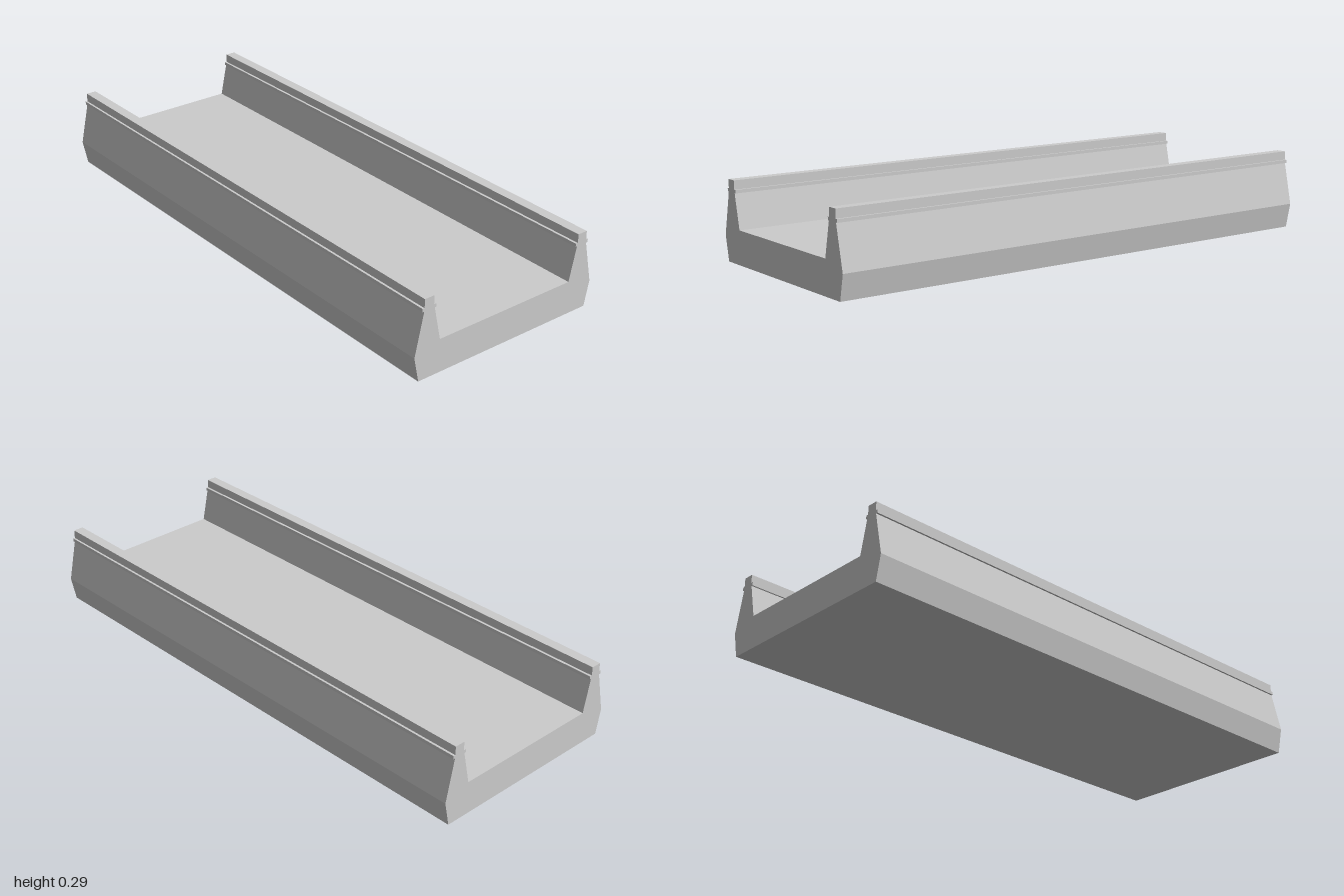
import * as THREE from 'three';

export function createModel() {
  const group = new THREE.Group();
  group.name = 'channel';
  const length = 2;

  // Half of the cross-section as [z, y], from the bottom edge up and over one wall to the floor
  const half = [
    [0.371, 0], [0.39, 0.092],                                      // splayed base side
    [0.356, 0.248], [0.363, 0.248], [0.363, 0.26], [0.355, 0.26],   // outer ridge
    [0.355, 0.292], [0.316, 0.292],                                 // top rail
    [0.316, 0.26], [0.307, 0.26], [0.307, 0.248], [0.313, 0.248],   // inner ridge
    [0.286, 0.123],                                                 // floor corner
  ];
  const mirrored = half.map(([z, y]) => [-z, y]).reverse();
  const outline = [...half, ...mirrored].map(([z, y]) => new THREE.Vector2(z, y));

  // Run the section along x
  const geometry = new THREE.ExtrudeGeometry(new THREE.Shape(outline), {
    depth: length, bevelEnabled: false,
  });
  geometry.translate(0, 0, -length / 2);
  geometry.rotateY(-Math.PI / 2);

  const body = new THREE.Mesh(
    geometry,
    new THREE.MeshStandardMaterial({ color: 0xcccccc, flatShading: true }),
  );
  body.name = 'channelBody';
  group.add(body);
  return group;
}
